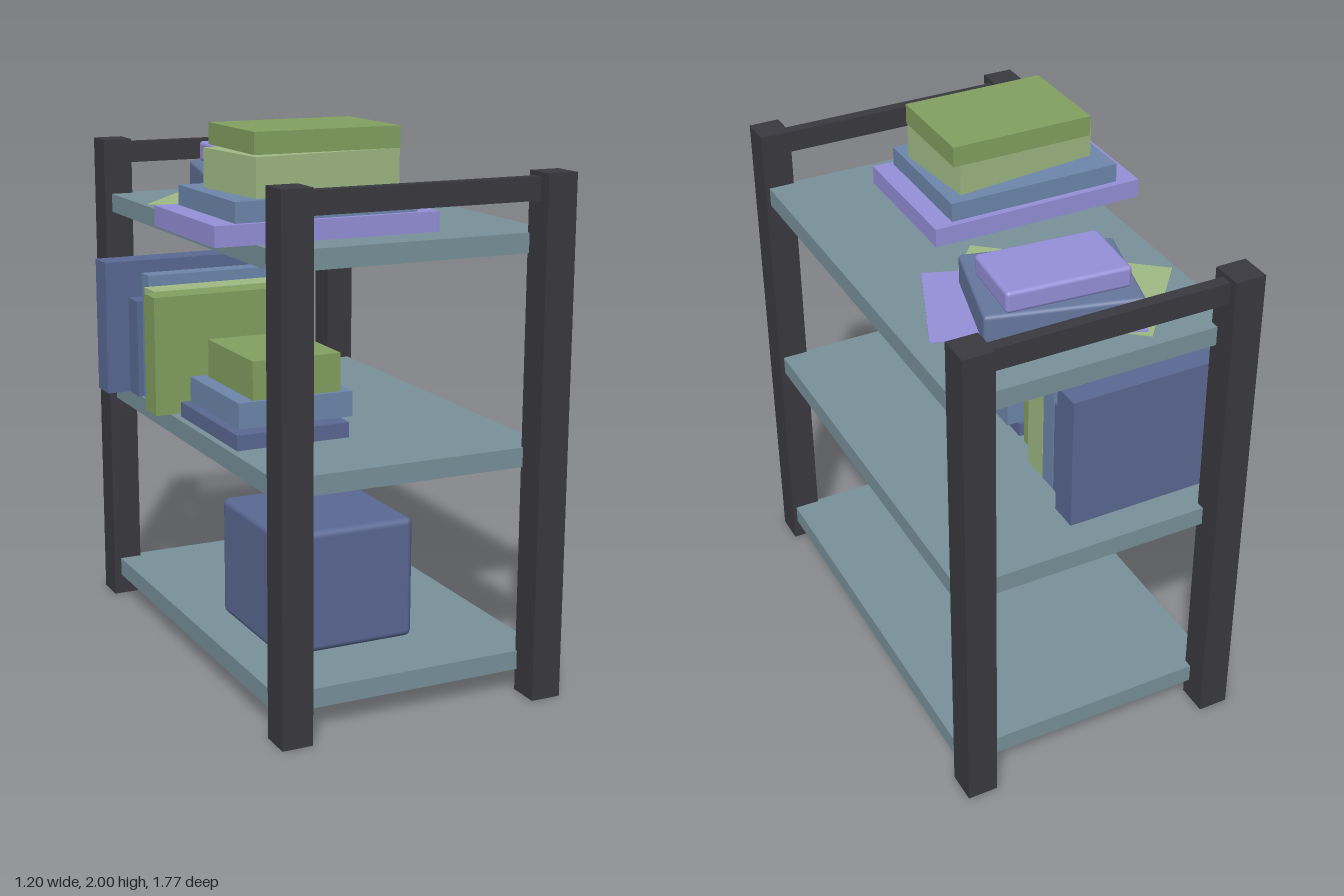
import * as THREE from 'three';
import { RoundedBoxGeometry } from 'three/addons/geometries/RoundedBoxGeometry.js';

const colors = {
  frame: 0x3a393f, shelf: 0x78919b, navy: 0x5a6893, slate: 0x66779f, blue: 0x6d86ac,
  violet: 0x9590d9, green: 0x82a060, sage: 0xa0ba84,
};
const materials = {};
for (const key in colors) materials[key] = new THREE.MeshStandardMaterial({ color: colors[key] });

// Box from its extents in x, y and z; radius > 0 rounds the edges
function block(name, color, [x0, x1], [y0, y1], [z0, z1], turn = 0, radius = 0) {
  const size = [x1 - x0, y1 - y0, z1 - z0];
  const geometry = radius
    ? new RoundedBoxGeometry(...size, 3, radius)
    : new THREE.BoxGeometry(...size);
  const mesh = new THREE.Mesh(geometry, materials[color]);
  mesh.name = name;
  mesh.position.set((x0 + x1) / 2, (y0 + y1) / 2, (z0 + z1) / 2);
  mesh.rotation.y = turn;
  return mesh;
}

// Box turned about its own centre, given by centre, width and depth
function turned(name, color, cx, cz, w, d, y, turn, radius = 0) {
  return block(name, color, [cx - w / 2, cx + w / 2], y, [cz - d / 2, cz + d / 2], turn, radius);
}

function group(name, ...parts) {
  const g = new THREE.Group();
  g.name = name;
  g.add(...parts);
  return g;
}

export function createModel() {
  const model = group('shelfUnit', group('frame'), group('shelves'));
  const [frame, shelves] = model.children;

  // Corner posts and the top rail at each end
  for (const s of [-1, 1]) {
    const z = s * 0.826;
    for (const x of [-0.427, 0.54])
      frame.add(block('post', 'frame', [x - 0.056, x + 0.056], [0, 1.86], [z - 0.059, z + 0.059]));
    frame.add(block('topRail', 'frame', [-0.38, 0.49], [1.765, 1.845],
      s > 0 ? [0.795, 0.838] : [-0.852, -0.808]));
  }

  // Three shelves
  for (const y of [0.08, 0.83, 1.58])
    shelves.add(block('shelf', 'shelf', [-0.455, 0.58], [y, y + 0.07], [-0.8, 0.777]));

  // Storage box on the bottom shelf
  model.add(block('storageBox', 'navy', [-0.31, 0.215], [0.15, 0.6], [-0.03, 0.495], 0, 0.025));

  // Books lying on the middle shelf
  model.add(group('middleStack',
    block('book', 'navy', [-0.43, 0], [0.9, 0.955], [-0.125, 0.4]),
    block('book', 'blue', [-0.395, 0.045], [0.957, 1.05], [-0.115, 0.335]),
    block('book', 'green', [-0.335, 0.005], [1.05, 1.19], [-0.085, 0.32])));

  // Books standing on the middle shelf: colour, x range, top, z range
  const standing = [
    ['green', [-0.515, 0], 1.345, [-0.266, -0.16]],
    ['sage', [-0.47, 0.045], 1.345, [-0.383, -0.277]],
    ['blue', [-0.45, 0.045], 1.385, [-0.463, -0.388]],
    ['navy', [-0.47, 0.045], 1.275, [-0.56, -0.468]],
    ['navy', [-0.56, 0.09], 1.415, [-0.676, -0.566]],
  ];
  model.add(group('standingBooks',
    ...standing.map(([c, x, top, z]) => block('book', c, x, [0.902, top], z))));

  // Front stack on the top shelf
  model.add(group('frontStack',
    block('book', 'violet', [-0.6, 0.22], [1.65, 1.72], [0.09, 0.63]),
    block('book', 'blue', [-0.52, 0.145], [1.72, 1.79], [0.115, 0.61]),
    turned('book', 'sage', -0.171, 0.367, 0.56, 0.357, [1.79, 1.925], 0.107),
    block('book', 'green', [-0.41, 0.13], [1.925, 2], [0.125, 0.515])));

  // Loose sheets and rounded boxes at the back of the top shelf
  model.add(group('backStack',
    turned('sheet', 'sage', -0.021, -0.355, 0.714, 0.445, [1.648, 1.653], -0.696),
    turned('sheet', 'violet', 0.096, -0.39, 0.712, 0.44, [1.653, 1.657], -0.377),
    turned('roundedBox', 'slate', 0.058, -0.447, 0.537, 0.413, [1.66, 1.775], -0.256, 0.014),
    turned('roundedBox', 'violet', 0.07, -0.482, 0.441, 0.275, [1.777, 1.855], -0.08, 0.014)));

  return model;
}
